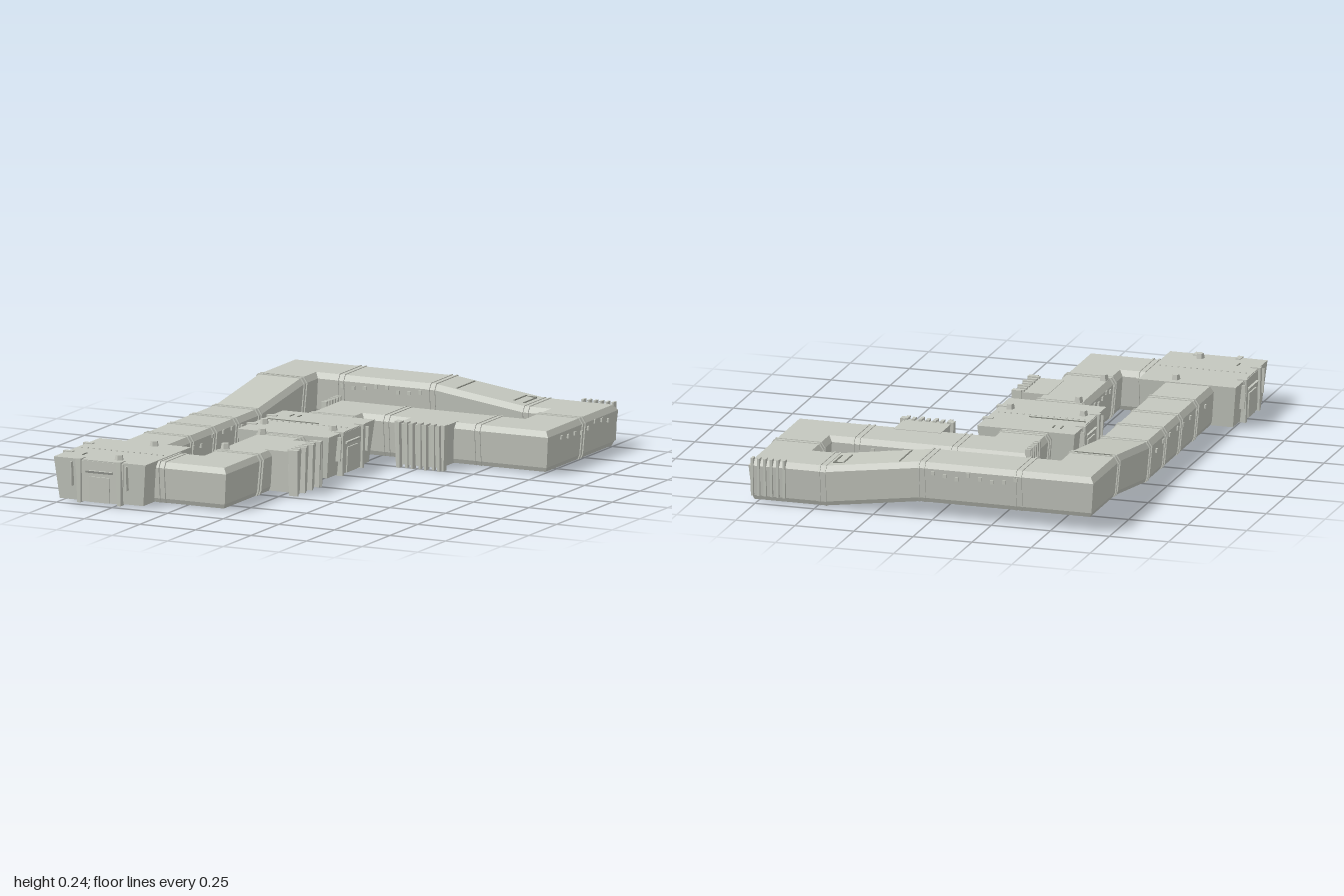
import * as THREE from 'three';

const hull = new THREE.MeshStandardMaterial({ color: 0xc4c7be });
hull.name = 'pale grey hull';
const trim = new THREE.MeshStandardMaterial({ color: 0x85887f });
trim.name = 'dark grey trim';

// Corridor cross-section: walls lean in toward the floor, bevelled at top and bottom
const section = (w, g = 0) => [
  [-w + 0.02 - g, 0.01], [w - 0.02 + g, 0.01], [w - 0.012 + g, 0.028], [w + g, 0.155],
  [w - 0.016 + g, 0.178 + g * 0.6], [-w + 0.016 - g, 0.178 + g * 0.6], [-w - g, 0.155], [-w + 0.012 - g, 0.028],
];

// Sweeps a section along [x, lift, z] points with mitred corners
function sweep(path, profile) {
  const P = path.map((p) => new THREE.Vector3(...p));
  const dir = (a, b) => new THREE.Vector3(b.x - a.x, 0, b.z - a.z).normalize();
  const rings = P.map((p, i) => {
    const d1 = dir(P[Math.max(i - 1, 0)], P[Math.max(i, 1)]);
    const d2 = i < P.length - 1 ? dir(p, P[i + 1]) : d1;
    const n1 = new THREE.Vector3(-d1.z, 0, d1.x);
    const n2 = new THREE.Vector3(-d2.z, 0, d2.x);
    const m = n1.clone().add(n2).divideScalar(1 + n1.dot(n2));
    return profile.map(([u, v]) => new THREE.Vector3(p.x + m.x * u, p.y + v, p.z + m.z * u));
  });
  const out = [];
  const tri = (...t) => t.forEach((v) => out.push(v.x, v.y, v.z));
  const n = profile.length;
  for (let i = 0; i < rings.length - 1; i++) {
    for (let j = 0; j < n; j++) {
      const k = (j + 1) % n, A = rings[i], B = rings[i + 1];
      tri(A[j], B[j], A[k]);
      tri(A[k], B[j], B[k]);
    }
  }
  const S = rings[0], E = rings[rings.length - 1];
  for (let j = 1; j < n - 1; j++) {
    tri(S[0], S[j], S[j + 1]);
    tri(E[0], E[j + 1], E[j]);
  }
  const geo = new THREE.BufferGeometry();
  geo.setAttribute('position', new THREE.Float32BufferAttribute(out, 3));
  geo.computeVertexNormals();
  return geo;
}

export function createModel() {
  const model = new THREE.Group();
  model.name = 'corridorComplex';
  const add = (name, geo, mat = hull) => {
    const mesh = new THREE.Mesh(geo, mat);
    mesh.name = name;
    model.add(mesh);
    return mesh;
  };

  // Box between two corners whose floor is pulled in by tx and tz
  const block = (name, x0, x1, y0, y1, z0, z1, tx = 0, tz = 0, mat = hull) => {
    const w = x1 - x0, d = z1 - z0;
    const geo = new THREE.BoxGeometry(w, y1 - y0, d).toNonIndexed();
    const p = geo.attributes.position;
    for (let i = 0; i < p.count; i++) {
      if (p.getY(i) < 0) {
        p.setX(i, p.getX(i) * (1 - (2 * tx) / w));
        p.setZ(i, p.getZ(i) * (1 - (2 * tz) / d));
      }
    }
    geo.computeVertexNormals();
    geo.translate((x0 + x1) / 2, (y0 + y1) / 2, (z0 + z1) / 2);
    return add(name, geo, mat);
  };

  // Corridors: the long outer loop climbs to the back corner, the short one joins the rooms
  const L = 0.055;
  add('outerCorridor', sweep([
    [-0.57, 0, 0.6], [-0.57, 0, -0.26], [-0.57, L, -0.65], [-0.57, L, -0.882], [0.06, L, -0.882],
    [0.46, 0, -0.882], [0.672, 0, -0.882], [0.672, 0, -0.468], [-0.155, 0, -0.468], [-0.155, 0, -0.22],
  ], section(0.109)));
  add('innerCorridor', sweep([[-0.155, 0, 0.12], [-0.155, 0, 0.772], [-0.4, 0, 0.772]], section(0.107)));

  // Paired seam frames around the corridors: [x, lift, z, runs along x]
  const seams = [
    [-0.57, 0, 0.36, 0], [-0.57, 0, 0.15, 0], [-0.57, 0, -0.05, 0], [-0.57, 0, -0.25, 0],
    [-0.57, L, -0.66, 0], [-0.36, L, -0.882, 1], [0.05, L, -0.882, 1], [0.47, 0, -0.882, 1],
    [0.672, 0, -0.68, 0], [0.46, 0, -0.468, 1], [0.05, 0, -0.468, 1], [-0.155, 0, -0.29, 0],
    [-0.155, 0, 0.18, 0], [-0.155, 0, 0.56, 0], [-0.34, 0, 0.772, 1],
  ];
  for (const [x, y, z, alongX] of seams) {
    for (const s of [-0.012, 0.012]) {
      const ends = [s - 0.004, s + 0.004].map((t) => (alongX ? [x + t, y, z] : [x, y, z + t]));
      add('seamFrame', sweep(ends, section(0.109, 0.005)));
    }
  }

  // Square rooms, each with portals on its free sides: [portal side x, portal side z]
  const rooms = [
    { x: -0.567, z: 0.773, sides: [[-1, 0], [0, 1]] },
    { x: -0.155, z: -0.055, sides: [[-1, 0], [1, 0]] },
  ];
  for (const { x, z, sides } of rooms) {
    const h = 0.206;
    block('room', x - h, x + h, 0.01, 0.182, z - h, z + h, 0.018, 0.018);
    for (const [sx, sz] of sides) {
      // Portal parts lie across the wall from a to b, reaching out by r
      const part = (name, a, b, r, y0, y1, taper, mat) => {
        const lo = h - 0.03, hi = h + r;
        if (sx) block(name, x + Math.min(sx * lo, sx * hi), x + Math.max(sx * lo, sx * hi), y0, y1, z + a, z + b, 0.006, taper, mat);
        else block(name, x + a, x + b, y0, y1, z + Math.min(sz * lo, sz * hi), z + Math.max(sz * lo, sz * hi), taper, 0.006, mat);
      };
      part('portalHousing', -0.11, 0.11, 0.002, 0.01, 0.178, 0.015);
      part('portalDoor', -0.045, 0.045, 0.006, 0.01, 0.115, 0);
      for (const s of [-1, 1]) {
        part('portalPost', s * 0.09 - 0.011, s * 0.09 + 0.011, 0.012, 0.005, 0.186, 0.003);
        part('portalPipe', s * 0.123 - 0.003, s * 0.123 + 0.003, 0.016, 0.07, 0.17, 0);
      }
      part('portalLintel', -0.06, 0.06, 0.012, 0.13, 0.14, 0);
    }
    // Bolted strip across the roof
    for (let i = -7; i <= 7; i++) block('roofBolt', x + i * 0.026 - 0.003, x + i * 0.026 + 0.003, 0.18, 0.186, z - 0.003, z + 0.003);
  }

  // Side bays with finned ends
  block('frontBay', 0.16, 0.36, 0.01, 0.18, -0.4, -0.25, 0.012, 0.008);
  block('sideBay', -0.08, 0.05, 0.01, 0.18, 0.25, 0.465, 0.008, 0.012);
  for (let i = 0; i < 7; i++) {
    const t = i / 6;
    const x = 0.17 + t * 0.18, z = 0.26 + t * 0.195;
    const deep = i % 2 ? 0.012 : 0.024;
    block('frontBayFin', x - 0.007, x + 0.007, 0, 0.188, -0.27, -0.252 + deep, 0.002, 0.006);
    block('sideBayFin', 0.02, 0.046 + deep, 0, 0.188, z - 0.007, z + 0.007, 0.006, 0.002);
  }
  for (const x of [0.157, 0.363]) block('frontBayPost', x - 0.01, x + 0.01, 0, 0.188, -0.275, -0.245, 0.006, 0.002);
  for (const z of [0.25, 0.465]) block('sideBayPost', 0.03, 0.07, 0, 0.188, z - 0.008, z + 0.008, 0.002, 0.004);

  // Fin banks on the outer corners
  for (let i = 0; i < 6; i++) {
    const z = -0.56 + i * 0.025, x = 0.63 + i * 0.027;
    block('innerCornerFin', -0.274, -0.25, 0.03, 0.196, z - 0.005, z + 0.005, 0.005, 0);
    block('backCornerFin', x - 0.005, x + 0.005, 0.03, 0.188, -0.999, -0.97, 0, 0.005);
  }

  // Five-sided roof vents
  const vents = [[-0.31, 0.01], [0, 0.01], [-0.505, 0.61], [-0.505, 0.925], [-0.23, 0.19], [-0.23, 0.52]];
  for (const [x, z] of vents) {
    const vent = add('roofVent', new THREE.CylinderGeometry(0.015, 0.02, 0.025, 5).toNonIndexed());
    vent.geometry.computeVertexNormals();
    vent.position.set(x, 0.19, z);
  }

  // Thin roof grooves: [x0, x1, z0, z1, roof height]
  const grooves = [
    [-0.65, -0.49, -0.657, -0.651, 0.233], [0.148, 0.154, -0.96, -0.8, 0.22], [0.39, 0.396, -0.94, -0.83, 0.187],
    [0.434, 0.44, -0.94, -0.83, 0.181], [0.39, 0.44, -0.942, -0.936, 0.184], [-0.35, -0.11, -0.083, -0.078, 0.182],
    [-0.285, -0.28, -0.2, -0.165, 0.182], [-0.25, -0.245, -0.2, -0.165, 0.182], [-0.685, -0.68, 0.86, 0.9, 0.182],
  ];
  for (const [x0, x1, z0, z1, y] of grooves) block('roofGroove', x0, x1, y - 0.004, y + 0.003, z0, z1, 0, 0, trim);

  // Small wall boxes scattered along the corridors
  let seed = 7;
  const rnd = () => (seed = (seed * 16807) % 2147483647) / 2147483647;
  const box = (x, y, z) => block('wallFitting', x - 0.007, x + 0.007, y - 0.008, y + 0.008, z - 0.007, z + 0.007);
  for (let i = 0; i < 8; i++) {
    const y = () => 0.12 + rnd() * 0.03;
    for (const x of [-0.677, -0.463]) box(x, y(), -0.2 + i * 0.09 + rnd() * 0.03);
    for (const z of [-0.989, -0.775]) box(-0.35 + i * 0.05, y() + L, z);
    box(0.779, y(), -0.9 + i * 0.06);
    box(-0.1 + i * 0.07, y(), -0.575);
    box(-0.26, y(), 0.2 + i * 0.05);
  }
  return model;
}
